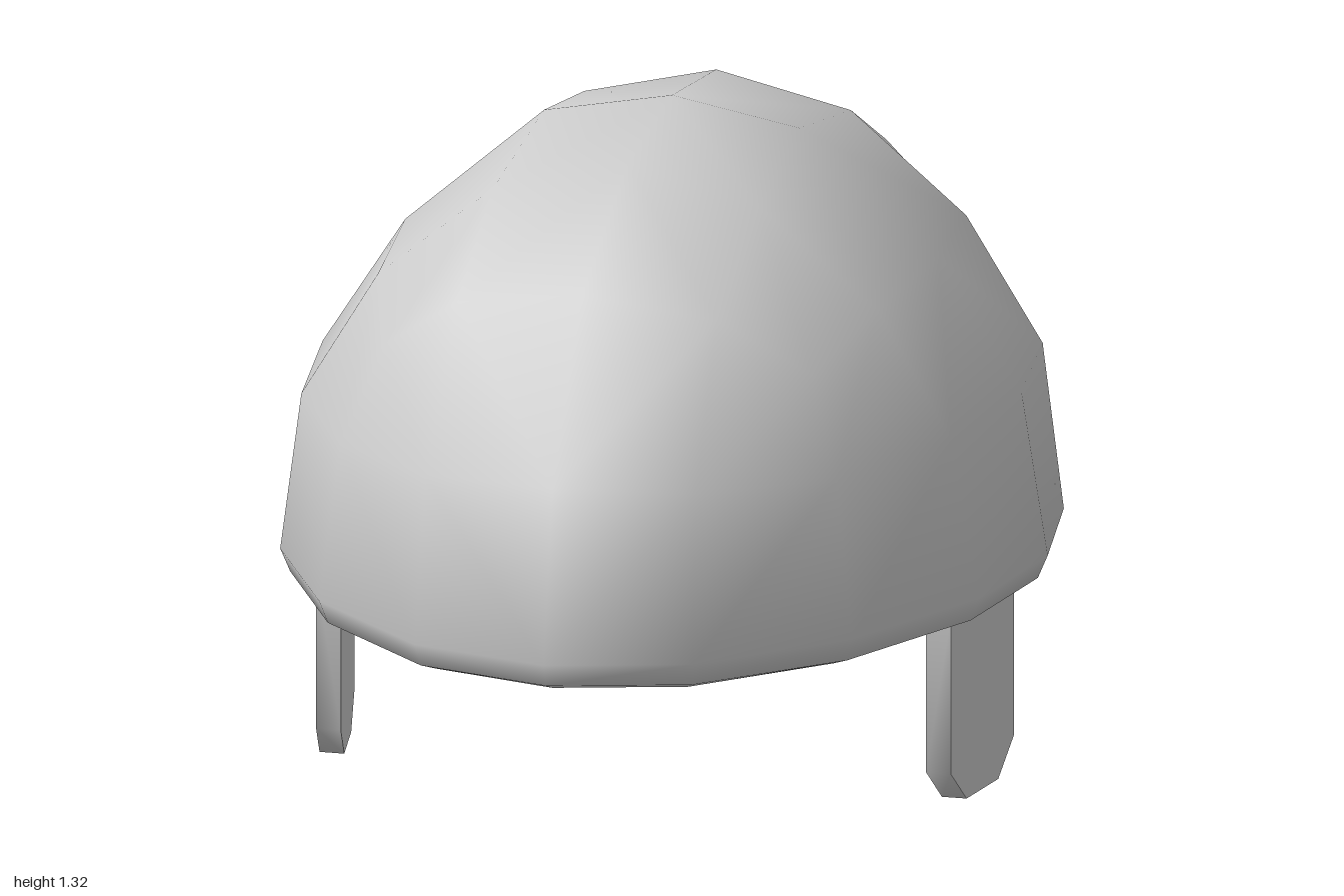
import * as THREE from 'three';
import { toCreasedNormals } from 'three/addons/utils/BufferGeometryUtils.js';

const material = new THREE.MeshStandardMaterial({ color: 0xcccccc, side: THREE.DoubleSide });

// One quarter of a dome of unit half-axes: a crown patch [along x][along z],
// then the rows below it, running from +x to +z
const CROWN = [
  [[0, 1, 0], [0, 0.95, 0.345], [0, 0.76, 0.70]],
  [[0.34, 0.945, 0], [0.355, 0.875, 0.355], [0.345, 0.71, 0.66]],
  [[0.71, 0.67, 0], [0.665, 0.655, 0.345], [0.57, 0.57, 0.57]],
];
const UPPER = [[0.93, 0.375, 0], [0.865, 0.37, 0.355], [0.66, 0.36, 0.65], [0.36, 0.375, 0.865], [0, 0.385, 0.93]];
const WIDEST = [[1, 0, 0], [0.93, 0, 0.33], [0.71, 0, 0.67], [0.37, 0, 0.92], [0, 0, 1]];
const BORDER = [CROWN[2][0], CROWN[2][1], CROWN[2][2], CROWN[1][2], CROWN[0][2]];

const scaled = (row, { w, h, l, base }) => row.map(([x, y, z]) => [x * w, base + y * h, z * l]);
const rimRow = (w, l, base) => scaled(WIDEST, { w, h: 0, l, base });

function domeGeometry() {
  const outer = { w: 0.76, h: 0.883, l: 1, base: 0.44 };
  const hollow = { w: 0.64, h: 0.42, l: 0.87, base: 0.388 };
  const quads = [];

  // Crown patches, the one of the hollow facing down
  for (const size of [outer, hollow]) {
    const c = CROWN.map((row) => scaled(row, size));
    for (let i = 0; i < 2; i++) {
      for (let j = 0; j < 2; j++) {
        const quad = [c[i][j], c[i][j + 1], c[i + 1][j + 1], c[i + 1][j]];
        quads.push(size === outer ? quad : quad.reverse());
      }
    }
  }

  // Outside wall down, round the rim, and up into the hollow
  const rows = [
    scaled(BORDER, outer), scaled(UPPER, outer), scaled(WIDEST, outer),
    rimRow(0.74, 0.98, 0.393), rimRow(0.69, 0.93, 0.375),
    scaled(WIDEST, hollow), scaled(UPPER, hollow), scaled(BORDER, hollow),
  ];
  for (let r = 0; r < rows.length - 1; r++) {
    for (let i = 0; i < 4; i++) {
      quads.push([rows[r][i], rows[r][i + 1], rows[r + 1][i + 1], rows[r + 1][i]]);
    }
  }

  // Mirror the quarter into all four; smooth except at the inner lip
  const positions = [];
  for (const [sx, sz] of [[1, 1], [-1, 1], [-1, -1], [1, -1]]) {
    const order = sx * sz > 0 ? [0, 1, 2, 0, 2, 3] : [0, 2, 1, 0, 3, 2];
    for (const quad of quads) {
      for (const k of order) positions.push(quad[k][0] * sx, quad[k][1], quad[k][2] * sz);
    }
  }
  const geometry = new THREE.BufferGeometry();
  geometry.setAttribute('position', new THREE.Float32BufferAttribute(positions, 3));
  return toCreasedNormals(geometry, 1);
}

// Flat strap with clipped lower corners, slanted to follow the rim
function strapGeometry() {
  const shape = new THREE.Shape([
    [0, 0.39], [0, 0.07], [0.075, 0], [0.225, 0], [0.3, 0.07], [0.3, 0.39],
  ].map(([z, y]) => new THREE.Vector2(z, y)));
  const geometry = new THREE.ExtrudeGeometry(shape, { depth: 0.05, bevelEnabled: false });
  geometry.rotateY(-Math.PI / 2); // shape x becomes z, thickness runs towards -x
  const p = geometry.attributes.position;
  for (let i = 0; i < p.count; i++) p.setX(i, p.getX(i) + 0.692 - p.getZ(i) * 0.05 / 0.3);
  return toCreasedNormals(geometry, 1);
}

export function createModel() {
  const model = new THREE.Group();
  model.name = 'helmet';

  const dome = new THREE.Mesh(domeGeometry(), material);
  dome.name = 'domeShell';
  model.add(dome);

  // Side straps, mirrored
  for (const side of [1, -1]) {
    const strap = new THREE.Mesh(strapGeometry(), material);
    strap.name = side > 0 ? 'leftStrap' : 'rightStrap';
    strap.scale.x = side;
    model.add(strap);
  }
  return model;
}
